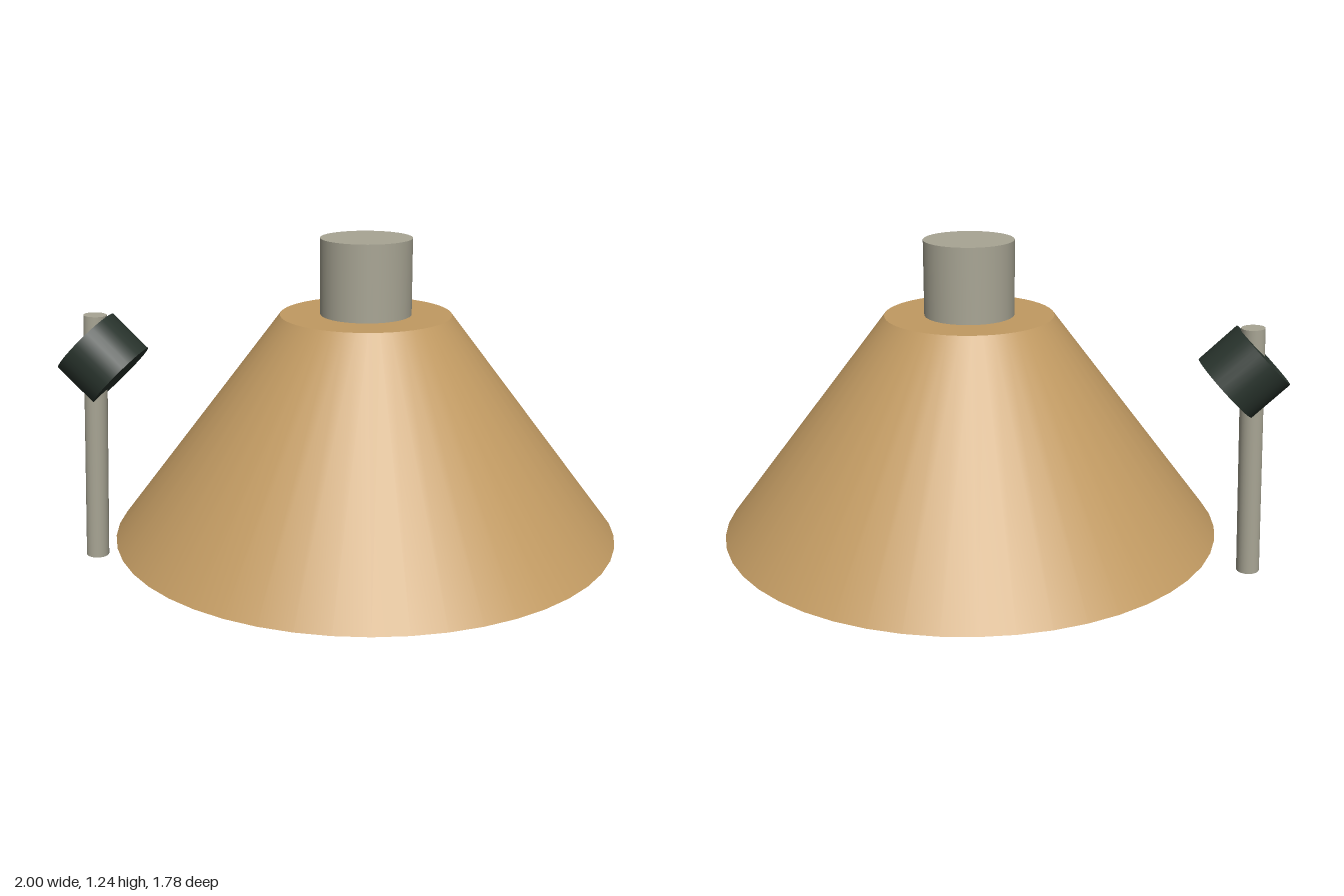
import * as THREE from 'three';

export function createModel() {
  const model = new THREE.Group();
  model.name = 'bellAndRod';
  const material = (name, color) => {
    const m = new THREE.MeshStandardMaterial({ color });
    m.name = name;
    return m;
  };
  const tan = material('tan', 0xc19a62);
  const grey = material('warm grey', 0xa8a594);
  const dark = material('dark green', 0x29342d);

  // Closed cylinder or cone running from one point to another
  const addRound = (name, mat, from, to, r0, r1, sides) => {
    const a = new THREE.Vector3(...from), b = new THREE.Vector3(...to);
    const axis = b.clone().sub(a);
    const mesh = new THREE.Mesh(new THREE.CylinderGeometry(r1, r0, axis.length(), sides), mat);
    mesh.position.copy(a).add(b).multiplyScalar(0.5);
    mesh.quaternion.setFromUnitVectors(new THREE.Vector3(0, 1, 0), axis.normalize());
    mesh.name = name;
    model.add(mesh);
  };

  // Wide cone with a short post on top
  addRound('coneBody', tan, [0.11, 0.203, 0], [0.11, 0.98, 0], 0.888, 0.297, 48);
  addRound('topPost', grey, [0.11, 0.97, 0], [0.11, 1.243, 0], 0.158, 0.158, 32);

  // Separate leaning rod with a tilted drum head
  addRound('rod', grey, [-0.902, 0.001, 0.21], [-0.863, 0.934, 0.195], 0.042, 0.042, 24);
  addRound('drumHead', dark, [-0.779, 0.713, 0.178], [-0.904, 0.836, 0.203], 0.14, 0.14, 32);

  return model;
}
